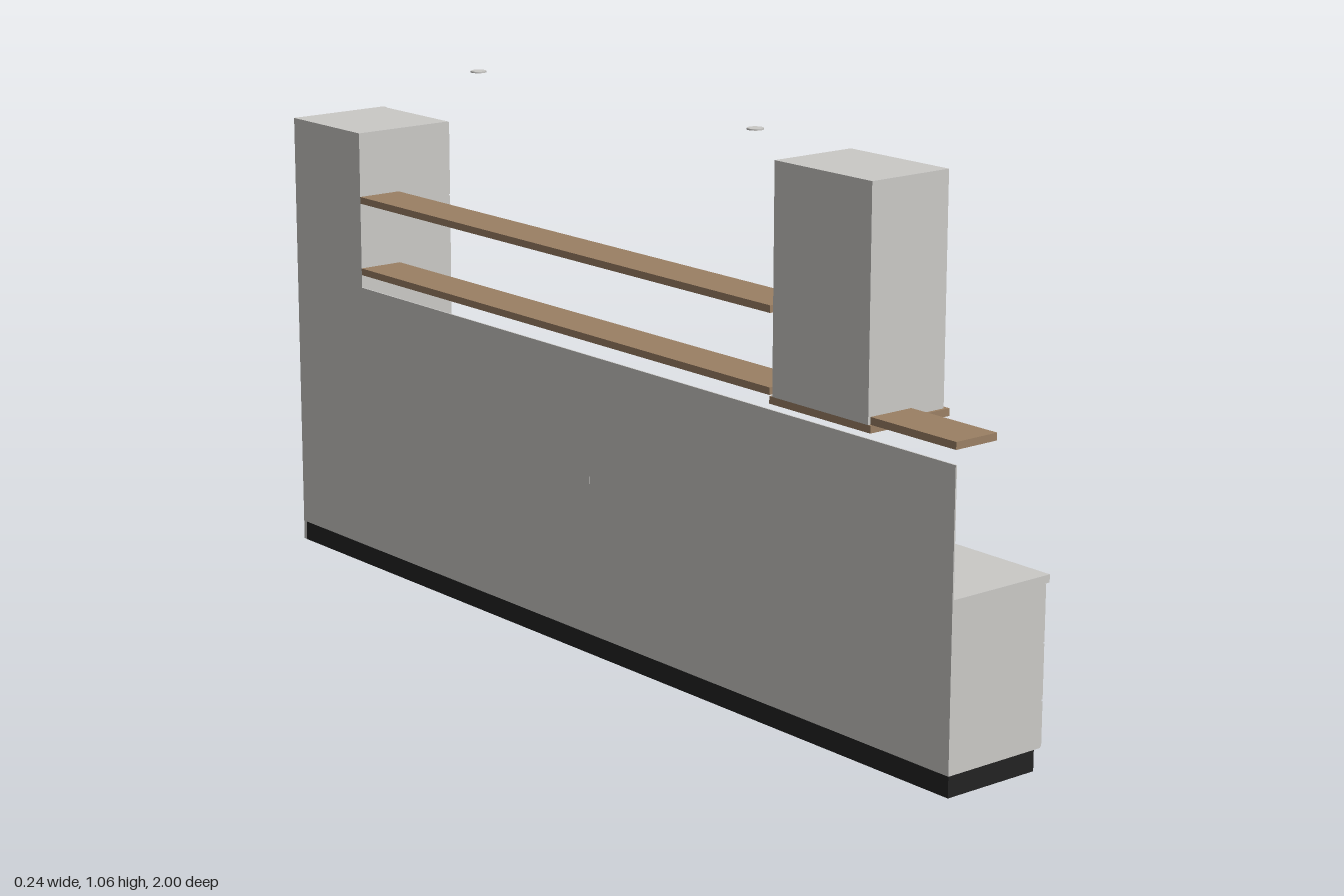
import * as THREE from 'three';

export function createModel() {
  const model = new THREE.Group();
  model.name = 'kitchen';

  const mat = (name, color) => {
    const m = new THREE.MeshStandardMaterial({ color });
    m.name = name;
    return m;
  };
  const grey = mat('lightGrey', 0xcac9c6);
  const wood = mat('wood', 0x9b8064);
  const black = mat('black', 0x222222);

  const add = (name, geometry, material) => {
    const mesh = new THREE.Mesh(geometry, material);
    mesh.name = name;
    model.add(mesh);
    return mesh;
  };
  // Box given by its limits on each axis
  const box = (name, material, x0, x1, y0, y1, z0, z1) => {
    const mesh = add(name, new THREE.BoxGeometry(x1 - x0, y1 - y0, z1 - z0), material);
    mesh.position.set((x0 + x1) / 2, (y0 + y1) / 2, (z0 + z1) / 2);
    return mesh;
  };
  // Horizontal slab with a rectangular hole; rectangles are [x0, x1, z0, z1]
  const frame = (name, material, outer, hole, top, depth) => {
    const corners = ([a, b, c, d]) =>
      [[a, c], [b, c], [b, d], [a, d]].map(([x, z]) => new THREE.Vector2(x, z));
    const shape = new THREE.Shape(corners(outer));
    shape.holes.push(new THREE.Path(corners(hole).reverse()));
    const geometry = new THREE.ExtrudeGeometry(shape, { depth, bevelEnabled: false });
    geometry.rotateX(Math.PI / 2);
    add(name, geometry, material).position.y = top;
  };

  const back = -0.12, body = 0.106, face = 0.11;
  const gap = 0.0015;

  // Plinth and the end panel that reaches the floor
  box('plinth', black, back, 0.09, 0, 0.04, -0.99, 1);
  box('endPanel', grey, back, face, 0, 0.925, -1, -0.99);

  // Cabinet bodies, lower under the sink
  box('baseBody', grey, back, body, 0.04, 0.345, 0.27, 1);
  box('sinkBody', grey, back, body, 0.04, 0.295, -0.01, 0.27);
  box('sinkBackRail', grey, back, -0.085, 0.295, 0.345, -0.01, 0.27);
  box('sinkFrontRail', grey, 0.085, body, 0.295, 0.345, -0.01, 0.27);
  box('baseBody', grey, back, body, 0.04, 0.345, -0.76, -0.01);
  box('tallBody', grey, back, body, 0.04, 0.925, -0.99, -0.76);

  // Doors and drawers: each column lists its z limits and its horizontal splits
  const drawers = [0.04, 0.128, 0.235, 0.345];
  const door = [0.04, 0.345];
  const columns = [
    ['drawerFront', 0.767, 1, drawers],
    ['cabinetDoor', 0.295, 0.531, door],
    ['cabinetDoor', 0.128, 0.295, door],
    ['cabinetDoor', -0.04, 0.128, door],
    ['cabinetDoor', -0.295, -0.04, door],
    ['drawerFront', -0.525, -0.295, drawers],
    ['cabinetDoor', -0.76, -0.525, door],
    ['tallDoor', -0.99, -0.76, [0.04, 0.345, 0.768, 0.925]],
  ];
  for (const [name, z0, z1, splits] of columns) {
    for (let i = 0; i < splits.length - 1; i++) {
      box(name, grey, body, face, splits[i] + gap, splits[i + 1] - gap, z0 + gap, z1 - gap);
    }
  }

  // Oven set between plain strips, with a bar handle
  box('ovenLowerStrip', grey, body, face, 0.04, 0.11, 0.533, 0.765);
  box('ovenFront', black, body, 0.112, 0.112, 0.342, 0.533, 0.767);
  const bar = add('ovenHandle', new THREE.CylinderGeometry(0.002, 0.002, 0.2, 10), grey);
  bar.rotation.x = Math.PI / 2;
  bar.position.set(0.12, 0.318, 0.65);
  for (const z of [0.56, 0.74]) box('handlePost', grey, 0.11, 0.12, 0.317, 0.319, z - 0.002, z + 0.002);

  // Worktop in two lengths, with the sink let into one
  const hole = [-0.062, 0.053, 0.015, 0.249];
  frame('worktop', grey, [back, 0.117, 0.0005, 1], hole, 0.36, 0.015);
  box('worktop', grey, back, 0.117, 0.345, 0.36, -0.76, -0.0005);
  frame('sinkRim', grey, [-0.075, 0.065, 0.002, 0.262], hole, 0.3625, 0.0025);
  frame('sinkWalls', grey, [-0.066, 0.057, 0.011, 0.253], hole, 0.345, 0.046);
  box('sinkFloor', grey, -0.066, 0.057, 0.296, 0.3, 0.011, 0.253);

  // Hob
  box('hob', black, -0.105, 0.093, 0.36, 0.364, 0.54, 0.763);

  // Swan-neck tap
  const tap = new THREE.CurvePath();
  const v = (x, y) => new THREE.Vector3(x, y, 0.133);
  tap.add(new THREE.LineCurve3(v(-0.105, 0.36), v(-0.105, 0.465)));
  const arc = [];
  for (let i = 0; i <= 12; i++) {
    const a = Math.PI * (1 - i / 12);
    arc.push(v(-0.07 + 0.035 * Math.cos(a), 0.465 + 0.035 * Math.sin(a)));
  }
  tap.add(new THREE.CatmullRomCurve3(arc));
  tap.add(new THREE.LineCurve3(v(-0.035, 0.465), v(-0.035, 0.452)));
  add('tapNeck', new THREE.TubeGeometry(tap, 60, 0.004, 10), grey);
  add('tapBase', new THREE.CylinderGeometry(0.009, 0.009, 0.018, 20), grey).position.set(-0.105, 0.369, 0.133);
  const spout = add('tapSpoutEnd', new THREE.CircleGeometry(0.004, 10), grey);
  spout.rotation.x = Math.PI / 2;
  spout.position.set(-0.035, 0.452, 0.133);

  // Splashback
  box('splashback', grey, back, -0.117, 0.36, 0.6, -0.76, 1);

  // Extractor hood with its wooden base
  box('hood', grey, back, 0.062, 0.625, 1.056, 0.53, 0.782);
  box('hoodBase', wood, back, 0.071, 0.611, 0.625, 0.522, 0.788);

  // Open shelves
  box('lowerShelf', wood, back, -0.023, 0.627, 0.641, -0.76, 0.522);
  box('upperShelf', wood, back, -0.023, 0.778, 0.792, -0.76, 0.522);
  box('endShelf', wood, back, -0.023, 0.627, 0.641, 0.788, 1);

  // Ceiling spotlights
  for (const z of [-0.592, 0.268]) {
    add('spotlight', new THREE.CylinderGeometry(0.016, 0.016, 0.003, 24), grey).position.set(0.063, 1.056, z);
  }

  return model;
}
